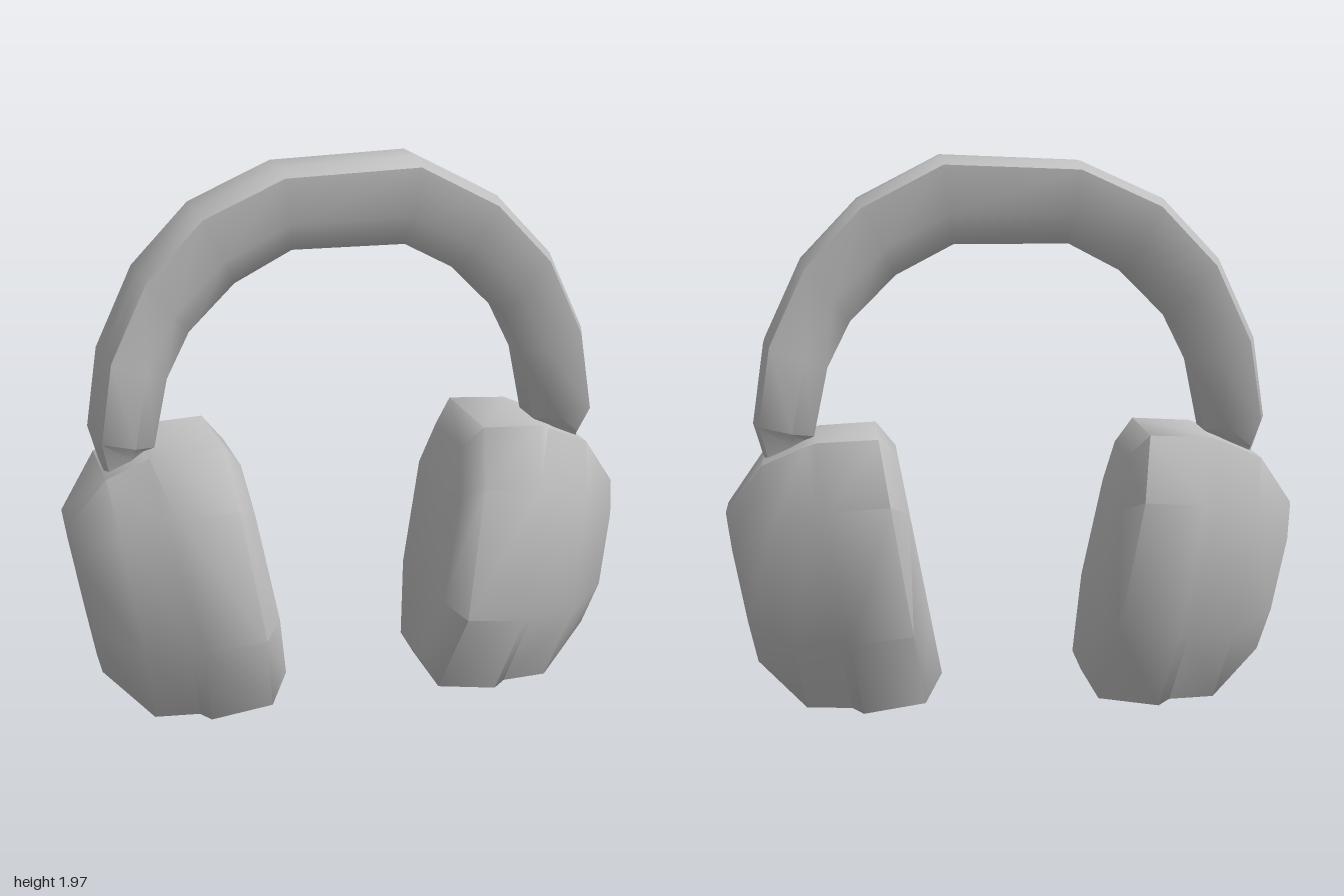
import * as THREE from 'three';
import { toCreasedNormals } from 'three/addons/utils/BufferGeometryUtils.js';

// Skins a closed solid over equal-length rings of [x, y, z] points, capped at both ends.
function loft(rings) {
  const n = rings[0].length;
  const points = rings.flat();
  const index = [];
  for (let r = 0; r < rings.length - 1; r++) {
    for (let i = 0; i < n; i++) {
      const a = r * n + i, b = r * n + (i + 1) % n;
      index.push(a, b, b + n, a, b + n, a + n);
    }
  }
  const cap = (ring, start, flip) => {
    const centre = points.length;
    points.push([0, 1, 2].map(k => ring.reduce((s, p) => s + p[k], 0) / n));
    for (let i = 0; i < n; i++) {
      const a = start + i, b = start + (i + 1) % n;
      index.push(centre, flip ? b : a, flip ? a : b);
    }
  };
  cap(rings[0], 0, true);
  cap(rings[rings.length - 1], (rings.length - 1) * n, false);

  // Turn the faces outward if the enclosed volume comes out negative.
  const v = points.map(p => new THREE.Vector3(...p));
  let volume = 0;
  for (let i = 0; i < index.length; i += 3) {
    volume += v[index[i]].dot(v[index[i + 1]].clone().cross(v[index[i + 2]]));
  }
  if (volume < 0) index.reverse();

  const geometry = new THREE.BufferGeometry();
  geometry.setAttribute('position', new THREE.Float32BufferAttribute(points.flat(), 3));
  geometry.setIndex(index);
  geometry.computeVertexNormals();
  return toCreasedNormals(geometry, 1.0);
}

// Headband: [outer x, outer y, inner x, inner y, half depth] along the arch.
function headbandGeometry() {
  const half = [
    [0.85, 0.88, 0.73, 0.90, 0.07],
    [0.87, 0.94, 0.72, 0.98, 0.09],
    [0.90, 1.05, 0.69, 1.00, 0.145],
    [0.86, 1.33, 0.64, 1.24, 0.14],
    [0.73, 1.61, 0.56, 1.40, 0.14],
    [0.53, 1.82, 0.40, 1.56, 0.143],
    [0.24, 1.97, 0.20, 1.665, 0.147],
  ];
  const mirrored = half.map(([ox, oy, ix, iy, d]) => [-ox, oy, -ix, iy, d]).reverse();
  mirrored[0 + 0][1] = 1.95; // the crown dips slightly on one side
  // Chamfered section: [inner-to-outer fraction, depth fraction].
  const section = [[1, 0.55], [0.9, 1], [0.35, 0.97], [0, 0.5],
    [0, -0.5], [0.35, -0.97], [0.9, -1], [1, -0.55]];
  return loft([...half, ...mirrored].map(([ox, oy, ix, iy, d]) =>
    section.map(([t, w]) => [ix + (ox - ix) * t, iy + (oy - iy) * t, d * w])));
}

// Ear cup: a leaning octagon carried through tilted slices from cushion to shell.
function earCupGeometry(side) {
  const outline = [[0.17, 1], [-0.23, 1], [-0.355, 0.78], [-0.30, 0.3],
    [-0.13, 0], [0.19, 0], [0.36, 0.33], [0.29, 0.8]];
  // [top x, top y, bottom x, bottom y, depth scale]
  const slices = [
    [0.40, 0.93, 0.25, 0.14, 0.76],
    [0.47, 1.01, 0.31, 0.04, 1.00],
    [0.68, 1.00, 0.53, 0.005, 0.96],
    [0.72, 0.985, 0.57, 0.025, 0.88],
    [0.87, 0.92, 0.73, 0.03, 0.85],
    [1.00, 0.74, 0.90, 0.19, 0.46],
  ];
  return loft(slices.map(([tx, ty, bx, by, s]) =>
    outline.map(([z, f]) => [side * (bx + (tx - bx) * f), by + (ty - by) * f, z * s])));
}

export function createModel() {
  const model = new THREE.Group();
  model.name = 'headphones';
  const grey = new THREE.MeshStandardMaterial({ color: 0xbfbfbf });
  grey.name = 'plain grey';

  const add = (name, geometry) => {
    const mesh = new THREE.Mesh(geometry, grey);
    mesh.name = name;
    model.add(mesh);
  };
  add('headband', headbandGeometry());
  add('leftEarCup', earCupGeometry(1));
  add('rightEarCup', earCupGeometry(-1));
  return model;
}
